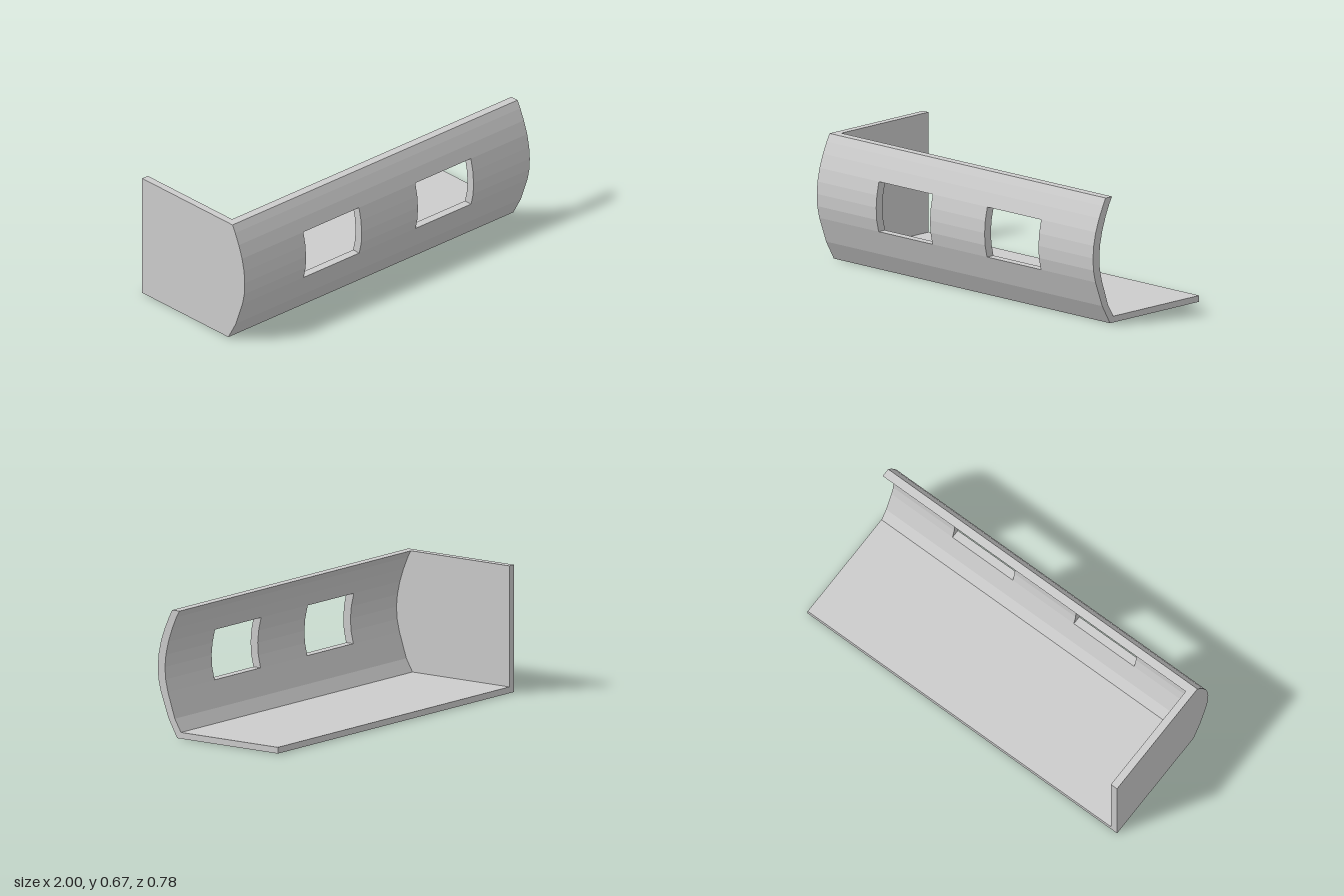
import * as THREE from 'three';

// Section as [z, y] pairs: floor first, then up the curved front wall
const outer = [[-0.39, 0], [0.265, 0], [0.322, 0.1], [0.372, 0.235], [0.387, 0.3], [0.39, 0.365],
  [0.385, 0.43], [0.37, 0.5], [0.345, 0.57], [0.318, 0.63], [0.297, 0.67]];
const inner = [[-0.39, 0.033], [0.24, 0.033], [0.28, 0.1], [0.325, 0.235], [0.34, 0.3], [0.344, 0.365],
  [0.338, 0.43], [0.322, 0.5], [0.298, 0.57], [0.27, 0.635], [0.25, 0.67]];

// Column breaks along x: columns 1 and 3 hold the windows, in rows 3 to 6
const WALL_X = -0.96;
const xs = [WALL_X, -0.57, -0.18, 0.215, 0.605, 1];
const rowCount = outer.length - 1;
const isWindow = (c, r) => (c === 1 || c === 3) && r >= 3 && r <= 6;
const isSolid = (c, r) => c < xs.length - 1 && r >= 0 && r < rowCount && !isWindow(c, r);

// Thick panel made of the solid cells in a range of rows, with faces only where exposed
function panelGeometry(firstRow, endRow) {
  const positions = [];
  const quad = (p, q, r, s) => positions.push(...p, ...q, ...r, ...p, ...r, ...s);
  const at = (x, [z, y]) => [x, y, z];
  for (let c = 0; c < xs.length - 1; c++) {
    const a = xs[c], b = xs[c + 1];
    for (let r = firstRow; r < endRow; r++) {
      if (!isSolid(c, r)) continue;
      const o0 = outer[r], o1 = outer[r + 1], i0 = inner[r], i1 = inner[r + 1];
      quad(at(a, o0), at(b, o0), at(b, o1), at(a, o1));
      quad(at(a, i1), at(b, i1), at(b, i0), at(a, i0));
      // Open end and window reveals
      if (!isSolid(c + 1, r)) quad(at(b, o0), at(b, i0), at(b, i1), at(b, o1));
      if (c > 0 && !isSolid(c - 1, r)) quad(at(a, o1), at(a, i1), at(a, i0), at(a, o0));
      if (!isSolid(c, r + 1)) quad(at(a, o1), at(b, o1), at(b, i1), at(a, i1));
      if (!isSolid(c, r - 1)) quad(at(a, i0), at(b, i0), at(b, o0), at(a, o0));
    }
  }
  const geometry = new THREE.BufferGeometry();
  geometry.setAttribute('position', new THREE.Float32BufferAttribute(positions, 3));
  geometry.computeVertexNormals();
  return geometry;
}

export function createModel() {
  const model = new THREE.Group();
  model.name = 'curvedWallSection';
  const grey = new THREE.MeshStandardMaterial({ color: 0xcccccc });
  grey.name = 'light grey';

  const add = (name, geometry) => {
    const mesh = new THREE.Mesh(geometry, grey);
    mesh.name = name;
    model.add(mesh);
    return mesh;
  };

  add('floor', panelGeometry(0, 1));
  add('curvedFrontWall', panelGeometry(1, rowCount));

  // Solid end wall filling the whole section on one side
  const section = new THREE.Shape([...outer, [-0.39, 0.67]].map(([z, y]) => new THREE.Vector2(z, y)));
  const endWall = add('endWall', new THREE.ExtrudeGeometry(section, { depth: 1 + WALL_X, bevelEnabled: false }));
  endWall.rotation.y = -Math.PI / 2;
  endWall.position.x = WALL_X;

  return model;
}
